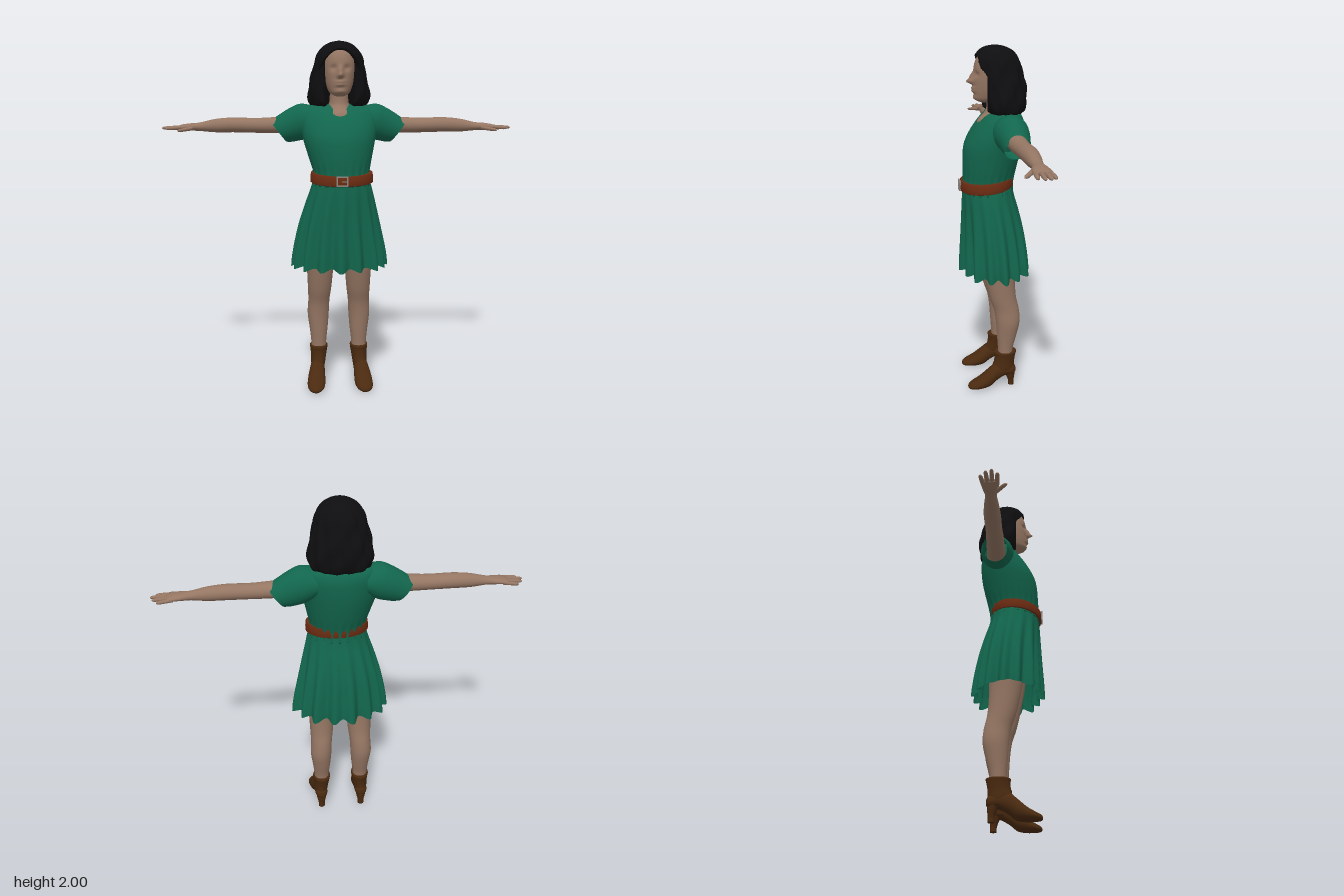
import * as THREE from 'three';

const mat = (name, color, side = THREE.FrontSide) => {
  const m = new THREE.MeshStandardMaterial({ color, side });
  m.name = name;
  return m;
};

// Smooth resampling of a few cross-section rows
function resample(rows, steps) {
  const out = [];
  const last = rows.length - 1;
  const at = (i) => rows[Math.min(last, Math.max(0, i))];
  for (let i = 0; i < last; i++) {
    for (let s = 0; s < steps; s++) {
      const t = s / steps;
      out.push(rows[i].map((p1, k) => {
        const p0 = at(i - 1)[k], p2 = at(i + 1)[k], p3 = at(i + 2)[k];
        return p1 + 0.5 * t * (p2 - p0 + t * (2 * p0 - 5 * p1 + 4 * p2 - p3 + t * (3 * (p1 - p2) + p3 - p0)));
      }));
    }
  }
  out.push(rows[last]);
  return out;
}

// Skin a surface over closed rings; place(row, sin, cos, angle) gives a point
function loft(rows, place, { seg = 28, steps = 4, caps = true } = {}) {
  const rings = resample(rows, steps), pos = [], idx = [];
  for (const r of rings) {
    for (let j = 0; j < seg; j++) {
      const a = (j / seg) * Math.PI * 2;
      pos.push(...place(r, Math.sin(a), Math.cos(a), a));
    }
  }
  for (let i = 0; i < rings.length - 1; i++) {
    for (let j = 0; j < seg; j++) {
      const a = i * seg + j, b = i * seg + (j + 1) % seg;
      idx.push(a, b, b + seg, a, b + seg, a + seg);
    }
  }
  if (caps) {
    for (const end of [0, rings.length - 1]) {
      const c = [0, 0, 0], base = end * seg, centre = pos.length / 3;
      for (let j = 0; j < seg; j++) for (let k = 0; k < 3; k++) c[k] += pos[(base + j) * 3 + k] / seg;
      pos.push(...c);
      for (let j = 0; j < seg; j++) {
        const a = base + j, b = base + (j + 1) % seg;
        if (end) idx.push(centre, a, b); else idx.push(centre, b, a);
      }
    }
  }
  const g = new THREE.BufferGeometry();
  g.setAttribute('position', new THREE.Float32BufferAttribute(pos, 3));
  g.setIndex(idx);
  g.computeVertexNormals();
  return g;
}

// Rows along y: [y, centreX, halfX, frontZ, backZ]
const upright = ([y, cx, hx, zf, zb], s, c) => [cx + s * hx, y, (zf + zb) / 2 + c * (zf - zb) / 2];
// Rows along x: [x, centreY, halfY, centreZ, halfZ, lean]
const sideways = ([x, cy, hy, cz, hz, lean = 0], s, c) => [x + c * lean, cy + c * hy, cz + s * hz];
// Rows along z: [z, centreX, halfX, bottomY, topY]
const forward = ([z, cx, hx, y0, y1], s, c) => [cx + c * hx, (y0 + y1) / 2 + s * (y1 - y0) / 2, z];

function mirrored(g) {
  const m = g.clone().scale(-1, 1, 1), a = m.index.array;
  for (let i = 0; i < a.length; i += 3) [a[i], a[i + 1]] = [a[i + 1], a[i]];
  m.computeVertexNormals();
  return m;
}

const bump = (v, centre, width) => Math.exp(-(((v - centre) / width) ** 2));

export function createModel() {
  const skin = mat('skin', 0x957663);
  const green = mat('green cloth', 0x12664d, THREE.DoubleSide);
  const beltBrown = mat('belt leather', 0x6c2c12);
  const bootBrown = mat('boot leather', 0x4a2a10);
  const black = mat('black hair', 0x0e0e10);
  const metal = mat('buckle metal', 0x8a8580);

  const model = new THREE.Group();
  const add = (name, geometry, material) => {
    const m = new THREE.Mesh(geometry, material);
    m.name = name;
    model.add(m);
    return m;
  };
  const pair = (name, geometry, material) => {
    add('left' + name, geometry, material);
    add('right' + name, mirrored(geometry), material);
  };

  // Head with nose, eye sockets, lips and chin pushed out of a smooth form
  add('head', loft([
    [1.695, 0, 0.02, 0.075, 0.03], [1.71, 0, 0.05, 0.105, -0.03], [1.74, 0, 0.068, 0.112, -0.07],
    [1.79, 0, 0.082, 0.115, -0.1], [1.85, 0, 0.088, 0.115, -0.11], [1.91, 0, 0.084, 0.105, -0.11],
    [1.95, 0, 0.064, 0.08, -0.08], [1.97, 0, 0.02, 0.03, -0.03],
  ], (r, s, c) => {
    const p = upright(r, Math.sign(s) * Math.abs(s) ** 0.85, c);
    const [x, y] = p;
    if (c > 0) {
      p[2] += 0.036 * bump(x, 0, 0.014) * (bump(y, 1.808, 0.014) + 0.55 * bump(y, 1.835, 0.022));
      p[2] -= 0.013 * bump(Math.abs(x), 0.036, 0.02) * bump(y, 1.848, 0.016);
      p[2] += 0.014 * bump(x, 0, 0.026) * (bump(y, 1.774, 0.008) + bump(y, 1.757, 0.008));
      p[2] += 0.008 * bump(x, 0, 0.025) * bump(y, 1.722, 0.014);
    }
    return p;
  }, { seg: 72, steps: 8 }), skin);

  add('neck', loft([
    [1.56, 0, 0.1, 0.1, -0.1], [1.6, 0, 0.088, 0.091, -0.1], [1.635, 0, 0.066, 0.058, -0.1],
    [1.67, 0, 0.054, 0.043, -0.085], [1.76, 0, 0.05, 0.04, -0.08],
  ], upright), skin);

  // Shoulder-length hair, open at the face and hollowed around the throat
  add('hair', loft([
    [1.635, 0, 0.125, 0.02, -0.14], [1.65, 0, 0.16, 0.06, -0.16], [1.7, 0, 0.174, 0.09, -0.172],
    [1.78, 0, 0.162, 0.11, -0.172], [1.85, 0, 0.145, 0.12, -0.155], [1.92, 0, 0.128, 0.115, -0.135],
    [1.965, 0, 0.096, 0.092, -0.105], [1.99, 0, 0.055, 0.055, -0.06], [2, 0, 0.01, 0.01, -0.015],
  ], (r, s, c, a) => {
    const p = upright(r, s, c);
    const fade = THREE.MathUtils.clamp((1.99 - p[1]) * 10, 0, 1);
    const wave = 1 + fade * (0.025 * Math.sin(a * 13 + p[1] * 16) + 0.02 * Math.sin(a * 7 - p[1] * 38));
    p[0] *= wave;
    p[2] *= wave;
    const hairline = 1.95 - 7 * p[0] * p[0];
    const edge = THREE.MathUtils.lerp(0.052, 0.13, THREE.MathUtils.smoothstep(p[1], hairline - 0.02, hairline + 0.015));
    p[2] = Math.min(p[2], edge);
    if (c > 0 && p[1] < 1.9) p[2] -= 0.11 * (1 - THREE.MathUtils.smoothstep(Math.abs(p[0]), 0.05, 0.085));
    return p;
  }, { seg: 96, steps: 8 }), black);

  // Bodice
  add('bodice', loft([
    [1.2, 0.01, 0.165, 0.185, -0.1], [1.26, 0.01, 0.155, 0.178, -0.1], [1.35, 0.005, 0.178, 0.18, -0.125],
    [1.45, 0, 0.203, 0.172, -0.148], [1.52, 0, 0.215, 0.142, -0.158], [1.58, 0, 0.22, 0.1, -0.16],
    [1.62, 0, 0.212, 0.062, -0.15], [1.645, 0, 0.17, 0.02, -0.13], [1.655, 0, 0.08, -0.02, -0.1],
  ], (r, s, c, a) => {
    const p = upright(r, s, c);
    const gather = 0.006 * bump(p[1], 1.25, 0.07) * Math.cos(a * 22);
    return [p[0] + s * gather, p[1], p[2] + c * gather];
  }, { seg: 72 }), green);

  // Short flared sleeves with a slanted hem
  pair('Sleeve', loft([
    [0.13, 1.565, 0.075, -0.05, 0.09, 0], [0.2, 1.555, 0.1, -0.055, 0.095, 0.012],
    [0.25, 1.54, 0.095, -0.06, 0.088, 0.02], [0.3, 1.518, 0.08, -0.062, 0.078, 0.032],
    [0.345, 1.498, 0.06, -0.063, 0.07, 0.046],
  ], sideways, { caps: false }), green);

  // Pleated skirt with folds deepening towards the hem
  add('skirt', loft([
    [0.725, 0, 0.262, 0.185, -0.185], [0.8, 0, 0.256, 0.186, -0.18], [0.95, 0, 0.23, 0.184, -0.16],
    [1.08, 0.005, 0.2, 0.184, -0.132], [1.17, 0.01, 0.176, 0.184, -0.108], [1.23, 0.01, 0.16, 0.18, -0.098],
  ], (r, s, c, a) => {
    const p = upright(r, s, c);
    const depth = Math.max(0, (1.23 - p[1]) / 0.5);
    const fold = depth * (0.019 * Math.cos(a * 15 + 0.4 * Math.sin(a * 2)) + 0.007 * Math.sin(a * 8 + 1));
    const hem = 0.01 * Math.cos(a * 15) * Math.max(0, 1 - (p[1] - 0.72) / 0.1);
    return [p[0] + s * fold, p[1] - hem, p[2] + c * fold];
  }, { seg: 180, caps: false }), green);

  // Belt, lower at the front, with a framed buckle
  add('belt', loft([
    [1.208, 0.012, 0.168, 0.186, -0.09], [1.21, 0.012, 0.178, 0.198, -0.1],
    [1.26, 0.012, 0.175, 0.196, -0.1], [1.262, 0.012, 0.165, 0.184, -0.09],
  ], (r, s, c) => {
    const p = upright(r, s, c);
    return [p[0], p[1] + 0.012 - 0.014 * c, p[2]];
  }, { seg: 48, steps: 2 }), beltBrown);
  const buckle = new THREE.Group();
  buckle.name = 'buckle';
  for (const [w, h, x, y] of [[0.064, 0.007, 0, 0.025], [0.064, 0.007, 0, -0.025], [0.007, 0.05, -0.029, 0],
    [0.007, 0.05, 0.029, 0], [0.03, 0.005, 0.014, 0]]) {
    const bar = new THREE.Mesh(new THREE.BoxGeometry(w, h, 0.009), metal);
    bar.position.set(x, y, 0);
    bar.name = 'buckleBar';
    buckle.add(bar);
  }
  buckle.position.set(0.005, 1.234, 0.2);
  model.add(buckle);

  // Arms tapering into the palm
  pair('Arm', loft([
    [0.2, 1.54, 0.05, -0.06, 0.055], [0.38, 1.533, 0.045, -0.06, 0.05], [0.48, 1.532, 0.042, -0.062, 0.046],
    [0.6, 1.535, 0.042, -0.065, 0.046], [0.7, 1.531, 0.038, -0.065, 0.039], [0.79, 1.525, 0.024, -0.063, 0.03],
    [0.84, 1.524, 0.021, -0.062, 0.04], [0.89, 1.522, 0.016, -0.062, 0.047], [0.912, 1.521, 0.01, -0.062, 0.044],
  ], sideways), skin);

  // Fingers and thumb
  const digits = [
    ['IndexFinger', 0.89, 0.975, -0.028, -0.022, 1.521, 1.516], ['MiddleFinger', 0.89, 1, -0.052, -0.05, 1.523, 1.518],
    ['RingFinger', 0.89, 0.99, -0.075, -0.08, 1.522, 1.516], ['LittleFinger', 0.88, 0.965, -0.096, -0.107, 1.519, 1.512],
    ['Thumb', 0.82, 0.905, -0.04, 0.018, 1.518, 1.505],
  ];
  for (const [name, x0, x1, z0, z1, y0, y1] of digits) {
    const rows = [[0, 0.012], [0.5, 0.0115], [0.88, 0.0095], [1, 0.003]].map(([t, r]) =>
      [x0 + (x1 - x0) * t, y0 + (y1 - y0) * t, r * 0.9, z0 + (z1 - z0) * t, name === 'Thumb' ? r * 1.3 : r]);
    pair(name, loft(rows, sideways, { seg: 10, steps: 3 }), skin);
  }

  // Legs
  pair('Leg', loft([
    [0.17, 0.12, 0.042, -0.005, -0.085], [0.25, 0.12, 0.045, -0.002, -0.092], [0.33, 0.12, 0.054, 0.004, -0.112],
    [0.42, 0.122, 0.063, 0.01, -0.13], [0.5, 0.118, 0.063, 0.022, -0.125], [0.58, 0.114, 0.069, 0.048, -0.108],
    [0.7, 0.111, 0.077, 0.075, -0.1], [0.85, 0.108, 0.088, 0.1, -0.1], [1.02, 0.09, 0.085, 0.11, -0.08],
  ], upright), skin);

  // Ankle boots: shaft, foot, heel
  pair('BootShaft', loft([
    [0.085, 0.125, 0.036, 0.02, -0.096], [0.12, 0.125, 0.042, 0.036, -0.1], [0.16, 0.122, 0.045, 0.022, -0.1],
    [0.2, 0.12, 0.05, 0.018, -0.106], [0.225, 0.12, 0.053, 0.02, -0.112], [0.226, 0.12, 0.046, 0.008, -0.1],
  ], upright, { steps: 3 }), bootBrown);
  pair('BootFoot', loft([
    [-0.106, 0.125, 0.015, 0.085, 0.12], [-0.09, 0.125, 0.034, 0.07, 0.14], [-0.04, 0.126, 0.04, 0.066, 0.15],
    [0.01, 0.13, 0.043, 0.038, 0.152], [0.05, 0.135, 0.049, 0.008, 0.122], [0.1, 0.139, 0.052, 0, 0.078],
    [0.145, 0.142, 0.045, 0.001, 0.05], [0.172, 0.143, 0.028, 0.004, 0.036], [0.182, 0.143, 0.008, 0.012, 0.024],
  ], forward), bootBrown);
  pair('BootHeel', loft([
    [0, 0.125, 0.019, -0.063, -0.099], [0.03, 0.125, 0.02, -0.062, -0.098],
    [0.065, 0.125, 0.028, -0.048, -0.102], [0.1, 0.125, 0.034, -0.03, -0.102],
  ], upright, { seg: 16 }), bootBrown);

  return model;
}
